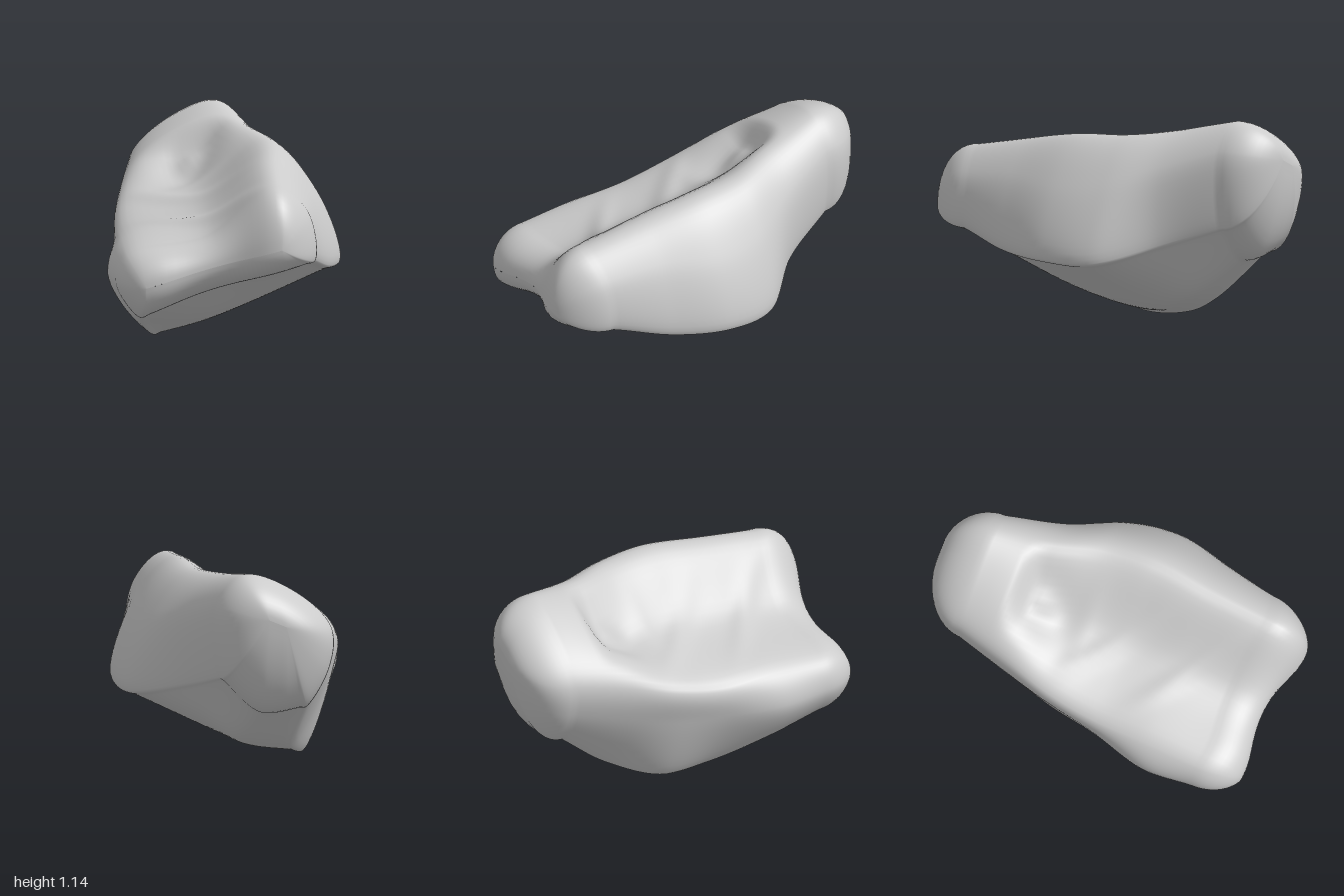
import * as THREE from 'three';

const COLUMNS = 100, ROWS = 70, CAP_STEPS = 12, CONTROLS = 8;
const { clamp, smoothstep } = THREE.MathUtils;
const bump = (d, width) => Math.exp(-((d / width) ** 2));

// One cross-section: left side, over the top to the ridge, down the right, back underneath
function section(z, ...xy) {
  const pts = Array.from({ length: CONTROLS }, (_, i) => new THREE.Vector3(xy[2 * i], xy[2 * i + 1], z));
  const [corner, under, foot] = pts.slice(5);
  // Extra points beside the two lower corners keep the underside flat and its edges crisp
  pts.splice(6, 1, corner.clone().lerp(under, 0.1), under, foot.clone().lerp(under, 0.15));
  const curve = new THREE.CatmullRomCurve3(pts, true, 'centripetal');
  return Array.from({ length: COLUMNS }, (_, j) => curve.getPoint(j / COLUMNS));
}

// Rounded end: the last ring shrinks onto a short straight spine
function cap(ring, depth, x0, y0, x1, y1) {
  return Array.from({ length: CAP_STEPS }, (_, k) => {
    const a = ((k + 1) / CAP_STEPS) * Math.PI / 2;
    return ring.map((p) => {
      const x = clamp(p.x, x0, x1);
      const y = y0 + (y1 - y0) * (x - x0) / (x1 - x0);
      const q = p.clone().lerp(new THREE.Vector3(x, y, p.z), 1 - Math.cos(a));
      q.z += depth * Math.sin(a);
      return q;
    });
  });
}

function sculpt(p, column) {
  const s = column / COLUMNS * (CONTROLS + 2);
  const top = smoothstep(s, 1, 1.6) * (1 - smoothstep(s, 2.5, 3));
  // Hollow with a step at its back and a small knob inside
  const hollow = 0.13 * bump(p.x + 0.14, 0.17) * smoothstep(p.z, -0.56, -0.43) * (1 - smoothstep(p.z, -0.4, -0.1))
    - 0.04 * bump(p.x + 0.14, 0.06) * bump(p.z + 0.38, 0.08);
  // Two low diagonal folds across the top
  const folds = 0.018 * (bump(p.z - 0.1 - 0.9 * (p.x + 0.12), 0.08) * bump(p.z, 0.22)
    + bump(p.z - 0.5 - 0.8 * (p.x + 0.1), 0.07) * bump(p.z - 0.5, 0.2));
  p.y += top * (folds - hollow);
  // Two lobes on the front lip, with a notch between them
  const lobes = 0.1 * bump(p.x - 0.24, 0.2) + 0.04 * bump(p.x + 0.42, 0.16);
  p.z += lobes * smoothstep(p.z, 0.4, 0.88);
  return p;
}

export function createModel() {
  const sections = [
    section(0.7, -0.62, 0.4, -0.56, 0.56, -0.12, 0.65, 0.23, 0.93,
      0.42, 0.78, 0.46, 0.51, -0.12, 0.35, -0.49, 0.21),
    section(0.42, -0.64, 0.4, -0.56, 0.59, -0.12, 0.71, 0.24, 0.99,
      0.46, 0.8, 0.56, 0.43, -0.08, 0.18, -0.46, 0.12),
    section(0.1, -0.56, 0.4, -0.56, 0.6, -0.12, 0.75, 0.26, 1.04,
      0.52, 0.78, 0.64, 0.4, -0.07, 0.09, -0.37, 0.01),
    section(-0.18, -0.52, 0.44, -0.54, 0.67, -0.14, 0.81, 0.23, 1.05,
      0.47, 0.8, 0.59, 0.39, -0.05, 0.08, -0.36, 0.02),
    section(-0.45, -0.47, 0.51, -0.49, 0.77, -0.2, 0.98, 0.13, 1.08,
      0.32, 0.88, 0.33, 0.48, 0.04, 0.17, -0.26, 0.13),
    section(-0.75, -0.42, 0.62, -0.43, 0.84, -0.2, 1.06, 0.05, 1.14,
      0.2, 0.98, 0.18, 0.58, -0.04, 0.38, -0.29, 0.4),
  ];

  // Smooth rails through matching points of the sections
  const rails = sections[0].map((_, j) =>
    new THREE.CatmullRomCurve3(sections.map((ring) => ring[j]), false, 'centripetal'));
  const body = Array.from({ length: ROWS + 1 }, (_, i) => rails.map((rail) => rail.getPoint(i / ROWS)));
  const rings = [
    ...cap(body[0], 0.2, -0.47, 0.4, 0.26, 0.61).reverse(),
    ...body,
    ...cap(body[ROWS], -0.25, -0.15, 0.9, -0.06, 0.94),
  ];

  // Skin the rings as one closed smooth surface
  const positions = [], index = [];
  rings.forEach((ring, i) => ring.forEach((p, j) => {
    positions.push(...sculpt(p.clone(), j).toArray());
    if (i === rings.length - 1) return;
    const a = i * COLUMNS + j, b = i * COLUMNS + (j + 1) % COLUMNS;
    index.push(a, b, a + COLUMNS, b, b + COLUMNS, a + COLUMNS);
  }));
  const geometry = new THREE.BufferGeometry();
  geometry.setAttribute('position', new THREE.Float32BufferAttribute(positions, 3));
  geometry.setIndex(index);
  geometry.computeVertexNormals();

  const rock = new THREE.Mesh(geometry, new THREE.MeshStandardMaterial({ color: 0xcccccc }));
  rock.name = 'rockBody';
  const group = new THREE.Group();
  group.name = 'rock';
  group.add(rock);
  return group;
}
